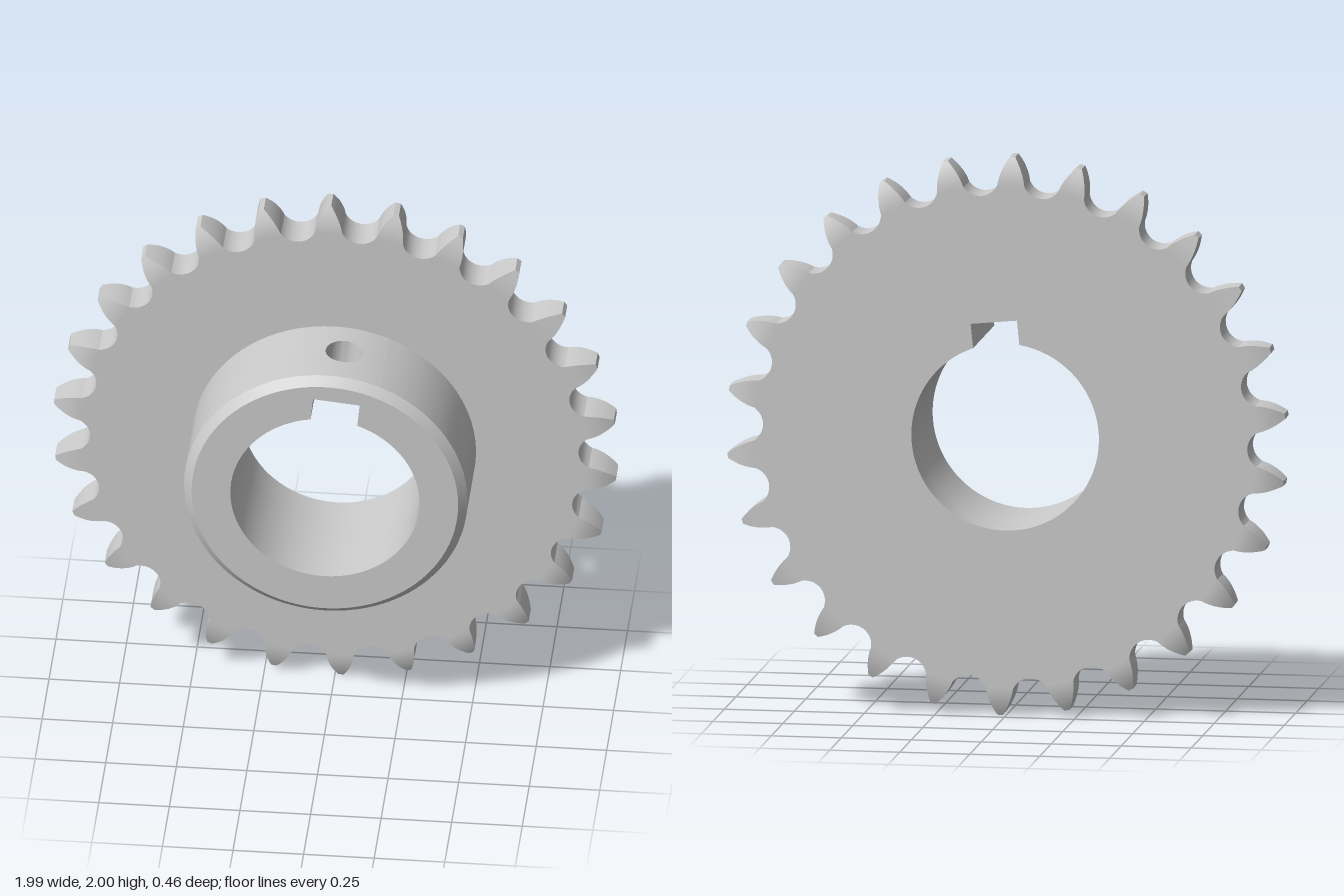
import * as THREE from 'three';
import { toCreasedNormals } from 'three/addons/utils/BufferGeometryUtils.js';

const TEETH = 26, STEP = (Math.PI * 2) / TEETH;
const PITCH_R = 0.935, ROLLER_R = 0.07, TIP_R = 1.0;
const PLATE_BACK = -0.23, PLATE_FRONT = -0.105, HUB_FRONT = 0.232;
const HUB_R = 0.502, CHAMFER = 0.03, BORE_R = 0.335;
const KEY_W = 0.083, KEY_Y = 0.412;
const SCREW_R = 0.065, SCREW_Z = 0.043;
const lerp = THREE.MathUtils.lerp;

// Grid surface: fn(u, v) gives the position of each vertex
function surface(nu, nv, fn) {
  const geo = new THREE.PlaneGeometry(1, 1, nu, nv);
  const pos = geo.attributes.position, uv = geo.attributes.uv;
  for (let i = 0; i < pos.count; i++) pos.setXYZ(i, ...fn(uv.getX(i), uv.getY(i)));
  return toCreasedNormals(geo, 0.6);
}

// Bore outline with keyway, clockwise from the keyway's right corner
function borePoints() {
  const a0 = Math.asin(KEY_W / BORE_R), pts = [new THREE.Vector2(KEY_W, KEY_Y)];
  for (let i = 0; i <= 72; i++) {
    const a = lerp(a0, Math.PI * 2 - a0, i / 72);
    pts.push(new THREE.Vector2(BORE_R * Math.sin(a), BORE_R * Math.cos(a)));
  }
  pts.push(new THREE.Vector2(-KEY_W, KEY_Y));
  return pts;
}

// Flat plate with a round roller seat between each pair of teeth (outline runs counter-clockwise)
function plateGeometry() {
  const pts = [], origin = new THREE.Vector2();
  for (let i = 0; i < TEETH; i++) {
    for (let k = 0; k <= 12; k++) {
      const a = lerp(Math.PI / 3, -Math.PI / 3, k / 12);
      const p = new THREE.Vector2(ROLLER_R * Math.sin(a), PITCH_R - ROLLER_R * Math.cos(a));
      pts.push(p.rotateAround(origin, i * STEP));
    }
  }
  const shape = new THREE.Shape(pts);
  shape.holes.push(new THREE.Path(borePoints()));
  const geo = new THREE.ExtrudeGeometry(shape, { depth: PLATE_FRONT - PLATE_BACK, bevelEnabled: false });
  geo.translate(0, 0, PLATE_BACK);
  return toCreasedNormals(geo, 0.6);
}

// One tooth: rectangular sections narrowing to the tip in width and thickness
function toothGeometry() {
  const n = 8, h = STEP / 2, mid = (PLATE_BACK + PLATE_FRONT) / 2;
  const ex = ROLLER_R * Math.sin(Math.PI / 3), ey = PITCH_R - ROLLER_R / 2;
  const baseW = ey * Math.sin(h) - ex * Math.cos(h);
  const baseY = ey * Math.cos(h) + ex * Math.sin(h);
  return surface(4, n + 1, (u, v) => {
    const row = Math.round(v * (n + 1)), t = Math.min(row / n, 1);
    const cap = row > n ? 0 : 1; // last row closes the tip
    const w = cap * (baseW - 0.013 * t - 0.026 * t * t);
    const d = cap * (0.0625 - 0.0255 * t * t);
    const corner = Math.round(u * 4) % 4;
    return [corner === 1 || corner === 2 ? w : -w, lerp(baseY, TIP_R, t), mid + (corner < 2 ? d : -d)];
  });
}

// Rectangular patch with a round hole in it, at height yAt(x)
function holedPatch(halfX, zMid, halfZ, yAt) {
  return surface(48, 6, (u, v) => {
    const c = Math.cos(u * Math.PI * 2), s = Math.sin(u * Math.PI * 2);
    const m = Math.max(Math.abs(c), Math.abs(s));
    const x = lerp((halfX * c) / m, SCREW_R * c, v);
    return [x, yAt(x), lerp(zMid - (halfZ * s) / m, SCREW_Z - SCREW_R * s, v)];
  });
}

export function createModel() {
  const model = new THREE.Group();
  model.name = 'sprocket';
  const body = new THREE.Group();
  body.name = 'sprocketBody';
  body.position.y = 1;
  body.rotation.z = -0.0985;
  model.add(body);

  const solid = new THREE.MeshStandardMaterial({ color: 0xcccccc });
  const open = new THREE.MeshStandardMaterial({ color: 0xcccccc, side: THREE.DoubleSide });
  const add = (parent, name, geo, mat) => {
    const mesh = new THREE.Mesh(geo, mat);
    mesh.name = name;
    parent.add(mesh);
    return mesh;
  };

  // Toothed plate
  add(body, 'plate', plateGeometry(), solid);
  const teeth = new THREE.Group();
  teeth.name = 'teeth';
  body.add(teeth);
  const tooth = toothGeometry();
  for (let i = 0; i < TEETH; i++) add(teeth, 'tooth', tooth, solid).rotation.z = -(i + 0.5) * STEP;

  // Hub outer wall, leaving a window for the screw hole
  const hub = new THREE.Group();
  hub.name = 'hub';
  body.add(hub);
  const winX = 0.15, winA = Math.asin(winX / HUB_R), wallFront = HUB_FRONT - CHAMFER;
  const onHub = (x) => Math.sqrt(HUB_R * HUB_R - x * x);
  add(hub, 'hubWall', surface(80, 1, (u, v) => {
    const a = lerp(winA, Math.PI * 2 - winA, u);
    return [HUB_R * Math.sin(a), HUB_R * Math.cos(a), lerp(wallFront, PLATE_FRONT, v)];
  }), open);
  add(hub, 'hubWallAroundScrewHole',
    holedPatch(winX, (wallFront + PLATE_FRONT) / 2, (wallFront - PLATE_FRONT) / 2, onHub), open);

  // Chamfer and front face
  add(hub, 'hubChamfer', surface(96, 1, (u, v) => {
    const a = u * Math.PI * 2, r = lerp(HUB_R, HUB_R - CHAMFER, v);
    return [r * Math.sin(a), r * Math.cos(a), lerp(wallFront, HUB_FRONT, v)];
  }).scale(-1, 1, 1).rotateY(0), open);
  const face = new THREE.Shape().absarc(0, 0, HUB_R - CHAMFER, 0, Math.PI * 2);
  face.holes.push(new THREE.Path(borePoints()));
  add(hub, 'hubFace', new THREE.ShapeGeometry(face, 48).translate(0, 0, HUB_FRONT), open);

  // Bore wall with keyway sides, keyway floor and radial screw hole
  const bore = borePoints(), n = bore.length - 1;
  add(hub, 'boreWall', surface(n, 1, (u, v) => {
    const p = bore[Math.round(u * n)];
    return [p.x, p.y, lerp(PLATE_FRONT, HUB_FRONT, v)];
  }), open);
  add(hub, 'keywayFloor',
    holedPatch(KEY_W, (HUB_FRONT + PLATE_FRONT) / 2, (HUB_FRONT - PLATE_FRONT) / 2, () => KEY_Y), open);
  add(hub, 'screwHole', surface(48, 1, (u, v) => {
    const a = u * Math.PI * 2, x = SCREW_R * Math.cos(a);
    return [x, lerp(onHub(x), KEY_Y, v), SCREW_Z - SCREW_R * Math.sin(a)];
  }), open);

  return model;
}
